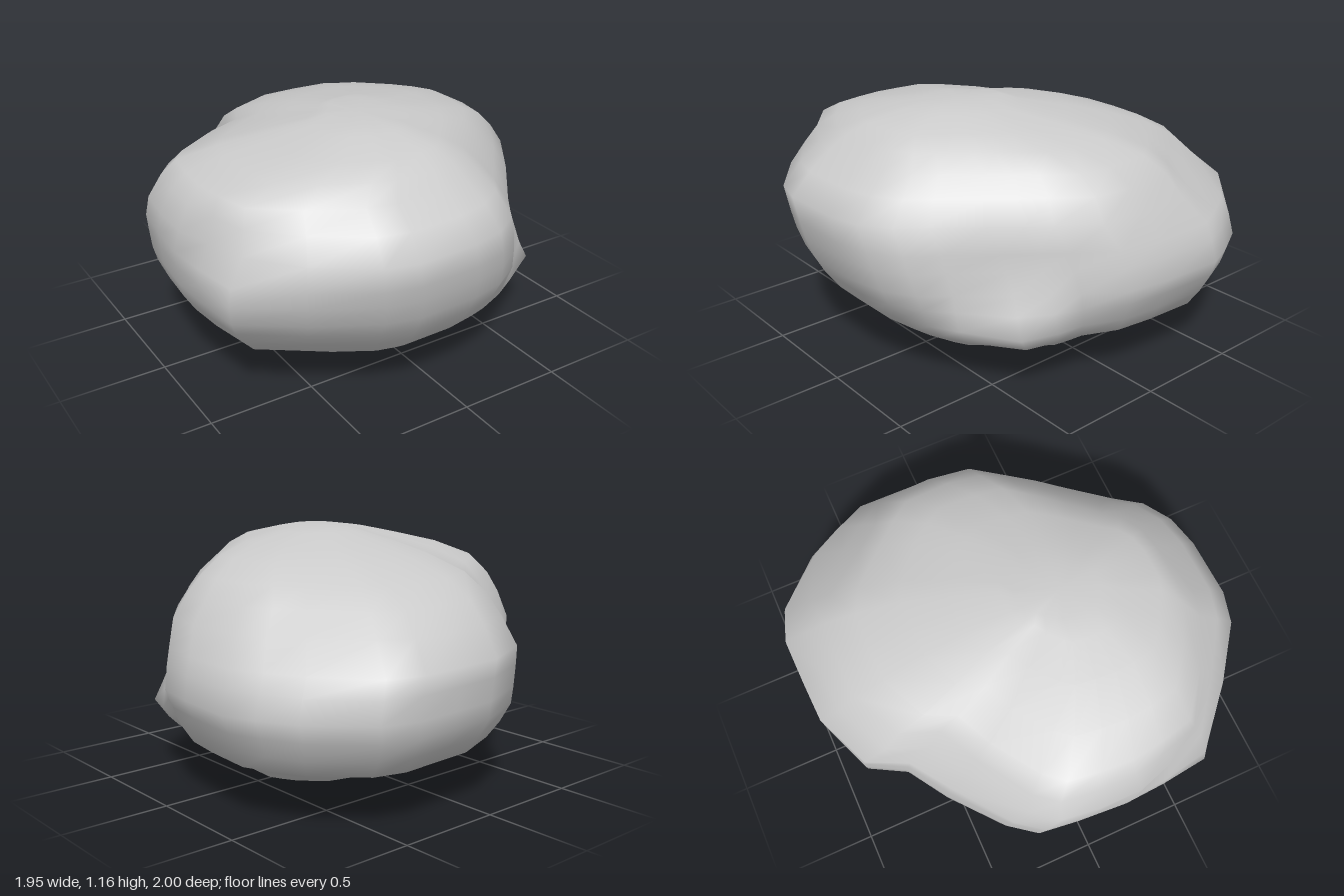
import * as THREE from 'three';

// Plan outline of the boulder as [x, z], clockwise from above
const OUTLINE = [
  [0.43, -1], [0.6, -0.95], [0.83, -0.72], [0.92, -0.55], [0.98, -0.4], [0.965, -0.1], [0.93, 0.12],
  [0.8, 0.3], [0.72, 0.41], [0.62, 0.53], [0.46, 0.73], [0.37, 0.86], [0.23, 0.95], [0.06, 0.99], [-0.24, 1],
  [-0.4, 0.96], [-0.68, 0.8], [-0.92, 0.6], [-0.96, 0.38], [-0.98, 0.18], [-0.965, -0.03], [-0.94, -0.23],
  [-0.85, -0.35], [-0.6, -0.56], [-0.4, -0.69], [-0.3, -0.87], [-0.02, -0.98], [0.2, -0.99],
];

// Levels: y, then the extent of the section as xMin, xMax, zMin, zMax
const LEVELS = [
  [0.01, -0.12, 0.25, -0.05, 0.38],
  [0.05, -0.39, 0.51, -0.35, 0.47],
  [0.15, -0.58, 0.65, -0.6, 0.63],
  [0.25, -0.8, 0.86, -0.88, 0.76],
  [0.33, -0.87, 0.91, -0.94, 0.84],
  [0.42, -0.925, 0.95, -0.99, 0.9],
  [0.5, -0.95, 0.98, -1, 0.94],
  [0.6, -0.965, 0.96, -1, 0.97],
  [0.68, -0.975, 0.94, -1, 0.985],
  [0.8, -0.98, 0.88, -0.9, 1],
  [0.9, -0.92, 0.81, -0.81, 0.91],
  [0.98, -0.86, 0.72, -0.66, 0.81],
  [1.05, -0.7, 0.57, -0.45, 0.74],
  [1.1, -0.5, 0.38, -0.25, 0.66],
  [1.14, -0.32, 0.18, -0.03, 0.48],
  [1.155, -0.21, 0.06, 0.02, 0.4],
];

// Local swellings (+) and dents (-): direction in plan, height, amount, angular width, vertical width
const BUMPS = [
  { x: 0.72, z: 0.56, y: 0.3, amount: 0.19, spread: 0.34, rise: 0.15 },
  { x: -0.55, z: 0.75, y: 0.33, amount: -0.03, spread: 0.3, rise: 0.12 },
  { x: -0.92, z: 0.6, y: 0.57, amount: 0.03, spread: 0.22, rise: 0.13 },
  { x: -0.92, z: 0.62, y: 0.82, amount: -0.09, spread: 0.28, rise: 0.11 },
  { x: 0.75, z: -0.68, y: 0.88, amount: -0.11, spread: 0.4, rise: 0.18 },
  { x: -0.55, z: -0.62, y: 0.85, amount: -0.06, spread: 0.36, rise: 0.18 },
];

function bumpAt(x, y, z) {
  let sum = 0;
  for (const b of BUMPS) {
    let d = Math.atan2(z, x) - Math.atan2(b.z, b.x);
    d = Math.atan2(Math.sin(d), Math.cos(d));
    sum += b.amount * Math.exp(-((d / b.spread) ** 2) - ((y - b.y) / b.rise) ** 2);
  }
  return sum;
}

function boulderGeometry() {
  const positions = [], indices = [], n = OUTLINE.length;

  // Fit the outline to the extent of every level
  for (const [y, x0, x1, z0, z1] of LEVELS) {
    for (const [ox, oz] of OUTLINE) {
      const x = (x0 + x1) / 2 + ox * (x1 - x0) / 1.96;
      const z = (z0 + z1) / 2 + oz * (z1 - z0) / 2;
      const k = 1 + bumpAt(x, y, z) / Math.max(Math.hypot(x, z), 0.3);
      positions.push(x * k, y, z * k);
    }
  }

  // Skin between neighbouring levels
  for (let i = 0; i < LEVELS.length - 1; i++) {
    for (let j = 0; j < n; j++) {
      const a = i * n + j, b = i * n + (j + 1) % n;
      indices.push(a, a + n, b, b, a + n, b + n);
    }
  }

  // Close the underside and the crown
  const bottom = positions.length / 3, top = bottom + 1, last = (LEVELS.length - 1) * n;
  positions.push(0.06, 0, 0.16, -0.07, 1.16, 0.22);
  for (let j = 0; j < n; j++) {
    const k = (j + 1) % n;
    indices.push(bottom, j, k, top, last + k, last + j);
  }

  const geometry = new THREE.BufferGeometry();
  geometry.setAttribute('position', new THREE.Float32BufferAttribute(positions, 3));
  geometry.setIndex(indices);
  geometry.computeVertexNormals();
  return geometry;
}

export function createModel() {
  const group = new THREE.Group();
  group.name = 'rock';
  const boulder = new THREE.Mesh(boulderGeometry(), new THREE.MeshStandardMaterial({ color: 0xcccccc }));
  boulder.name = 'boulder';
  group.add(boulder);
  return group;
}
